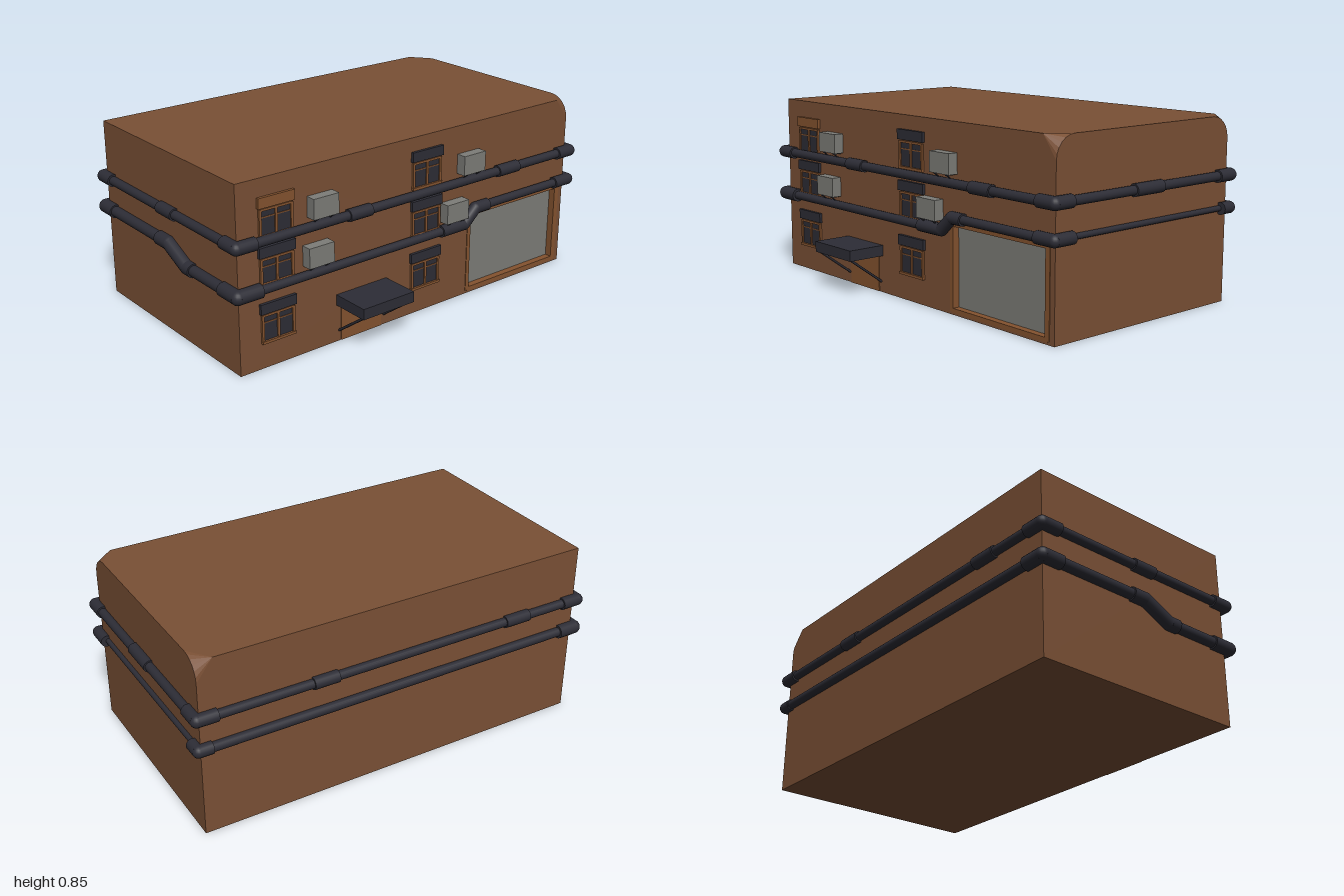
import * as THREE from 'three';
import { ConvexGeometry } from 'three/addons/geometries/ConvexGeometry.js';

const material = (name, color, side = THREE.FrontSide) => {
  const m = new THREE.MeshStandardMaterial({ color, side });
  m.name = name;
  return m;
};

export function createModel() {
  const wallMat = material('brown wall', 0x7a5035, THREE.DoubleSide);
  const trimMat = material('warm trim', 0x84532f);
  const darkMat = material('dark metal', 0x2d2d36);
  const greyMat = material('light grey', 0x7d7d78);
  const root = new THREE.Group();
  root.name = 'building';

  const add = (parent, name, geo, mat) => {
    const m = new THREE.Mesh(geo, mat);
    m.name = name;
    parent.add(m);
    return m;
  };
  const group = (name) => {
    const g = new THREE.Group();
    g.name = name;
    root.add(g);
    return g;
  };
  // box given by its limits on each axis
  const box = (parent, name, mat, [x0, x1], [y0, y1], [z0, z1]) => {
    const m = add(parent, name, new THREE.BoxGeometry(x1 - x0, y1 - y0, Math.abs(z1 - z0)), mat);
    m.position.set((x0 + x1) / 2, (y0 + y1) / 2, (z0 + z1) / 2);
    return m;
  };
  const UP = new THREE.Vector3(0, 1, 0);
  const rod = (parent, name, a, b, r, sides = 18) => {
    const d = b.clone().sub(a);
    const m = add(parent, name, new THREE.CylinderGeometry(r, r, d.length(), sides), darkMat);
    m.position.copy(a).addScaledVector(d, 0.5);
    m.quaternion.setFromUnitVectors(UP, d.normalize());
    return m;
  };
  const V = (x, y, z) => new THREE.Vector3(x, y, z);

  // Building shell with rounded top corners at the back
  const L = -0.605, R = 0.455, H = 0.845, D = 0.955, c = 0.1, zc = -0.88;
  const pts = [];
  for (const x of [L, R]) {
    const s = Math.sign(x);
    pts.push(V(x, 0, D), V(x, H, D), V(x, 0, -D), V(x, H, zc));
    for (let i = 0; i <= 6; i++) {
      const a = (i / 6) * Math.PI / 2;
      pts.push(V(x - s * c * (1 - Math.cos(a)), H - c + c * Math.sin(a), -D));
    }
  }
  const hull = new ConvexGeometry(pts);
  const pos = hull.attributes.position, nor = hull.attributes.normal;
  const keep = [];
  for (let i = 0; i < pos.count; i += 3) {
    if (nor.getX(i) > 0.999) continue; // this side is replaced by the wall with an opening
    for (let k = 0; k < 3; k++) keep.push(pos.getX(i + k), pos.getY(i + k), pos.getZ(i + k));
  }
  const shell = new THREE.BufferGeometry();
  shell.setAttribute('position', new THREE.Float32BufferAttribute(keep, 3));
  shell.computeVertexNormals();
  add(root, 'shell', shell, wallMat);

  // Side wall with the garage opening
  const g0 = 0.322, g1 = 0.92, gy0 = 0.015, gy1 = 0.402;
  const side = new THREE.Shape([[-D, 0], [D, 0], [D, H - c], [-zc, H], [-D, H]].map(p => new THREE.Vector2(...p)));
  side.holes.push(new THREE.Path([[g0, gy0], [g0, gy1], [g1, gy1], [g1, gy0]].map(p => new THREE.Vector2(...p))));
  const sideWall = add(root, 'sideWall', new THREE.ShapeGeometry(side).rotateY(Math.PI / 2), wallMat);
  sideWall.position.x = R;

  // Garage door set back in its frame
  const garage = group('garage');
  box(garage, 'garageDoor', greyMat, [R - 0.05, R - 0.03], [gy0, gy1], [-g1, -g0]);
  const gx = [R - 0.03, R + 0.003];
  box(garage, 'garageJamb', trimMat, gx, [gy0, gy1], [-g0 - 0.012, -g0 + 0.008]);
  box(garage, 'garageJamb', trimMat, gx, [gy0, gy1], [-g1 - 0.008, -g1 + 0.018]);
  box(garage, 'garageHeader', trimMat, gx, [gy1 - 0.01, gy1 + 0.006], [-g1 - 0.008, -g0 + 0.008]);
  box(garage, 'garageSill', trimMat, gx, [gy0 - 0.005, gy0 + 0.015], [-g1, -g0]);

  // Windows: pane, frame bars and lintel
  const windows = [
    [0.765, 0.6, 0.705, trimMat], [0.765, 0.39, 0.49, darkMat], [0.765, 0.13, 0.24, darkMat],
    [-0.05, 0.615, 0.72, darkMat], [-0.05, 0.39, 0.49, darkMat], [-0.05, 0.13, 0.24, darkMat],
  ];
  for (const [z, y0, y1, lintelMat] of windows) {
    const w = group('window');
    const hw = 0.075, fx = [R, R + 0.01];
    box(w, 'pane', darkMat, [R - 0.002, R + 0.004], [y0, y1], [z - hw, z + hw]);
    for (const s of [-1, 1]) {
      const e = z + s * (hw + 0.003);
      box(w, 'frameSide', trimMat, fx, [y0 - 0.008, y1 + 0.008], [e - 0.006, e + 0.006]);
    }
    box(w, 'mullion', trimMat, fx, [y0, y1], [z - 0.006, z + 0.006]);
    box(w, 'transom', trimMat, [R, R + 0.007], [y1 - 0.03, y1 - 0.025], [z - hw, z + hw]);
    box(w, 'frameTop', trimMat, fx, [y1, y1 + 0.01], [z - hw, z + hw]);
    box(w, 'sill', trimMat, [R, R + 0.014], [y0 - 0.012, y0], [z - 0.085, z + 0.085]);
    box(w, 'lintel', lintelMat, [R, R + 0.014], [y1 + 0.014, y1 + 0.06], [z - 0.09, z + 0.09]);
  }

  // Air conditioning units on brackets
  for (const [z, y] of [[0.543, 0.622], [0.568, 0.41], [-0.3, 0.622], [-0.205, 0.41]]) {
    const ac = group('airConditioner');
    box(ac, 'casing', greyMat, [R + 0.003, 0.506], [y, y + 0.092], [z - 0.065, z + 0.065]);
    for (const s of [-1, 1]) {
      const bz = z + s * 0.04;
      box(ac, 'bracketArm', darkMat, [R, 0.5], [y - 0.006, y], [bz - 0.004, bz + 0.004]);
      rod(ac, 'bracketStrut', V(R, y - 0.035, bz), V(0.495, y - 0.004, bz), 0.003, 6);
    }
  }

  // Entrance door and canopy
  const entrance = group('entrance');
  box(entrance, 'entranceDoor', trimMat, [R - 0.002, R + 0.003], [0, 0.172], [0.205, 0.43]);
  box(entrance, 'canopy', darkMat, [R, 0.64], [0.174, 0.224], [0.175, 0.455]);
  for (const z of [0.19, 0.44]) rod(entrance, 'canopyStrut', V(R, 0.05, z), V(0.63, 0.178, z), 0.006, 8);

  // Pipes: a run through points, with a ball and two sleeves at each corner
  const pl = -0.615, pr = 0.473, pz = 0.968;
  const run = (g, points, r) => {
    for (let i = 1; i < points.length; i++) rod(g, 'pipe', points[i - 1], points[i], r);
  };
  const ball = (g, p, r) => add(g, 'elbow', new THREE.SphereGeometry(r, 18, 12), darkMat).position.copy(p);
  const sleeves = (g, p, ends, r, len) => {
    ball(g, p, r);
    for (const e of ends) rod(g, 'sleeve', p, p.clone().add(e.clone().sub(p).setLength(len)), r);
  };

  const upper = group('upperPipe');
  const uy = 0.582;
  const ring = [V(pl, uy, pz), V(pr, uy, pz), V(pr, uy, -pz), V(pl, uy, -pz)];
  run(upper, [...ring, ring[0]], 0.021);
  ring.forEach((p, i) => sleeves(upper, p, [ring[(i + 1) % 4], ring[(i + 3) % 4]], 0.029, 0.09));
  const couplings = [
    [V(-0.11, uy, pz), V(0.01, uy, pz)], [V(-0.15, uy, -pz), V(0.02, uy, -pz)],
    [V(pr, uy, 0.405), V(pr, uy, 0.285)], [V(pr, uy, -0.475), V(pr, uy, -0.605)],
    [V(pl, uy, 0.55), V(pl, uy, 0.68)], [V(pl, uy, -0.44), V(pl, uy, -0.32)],
  ];
  for (const [a, b] of couplings) rod(upper, 'coupling', a, b, 0.028);

  const lower = group('lowerPipe');
  const hi = 0.434, lo = 0.37;
  const fl = V(pl, hi, pz), fr = V(pr, lo, pz), br = V(pr, hi, -pz), bl = V(pl, hi, -pz);
  const f1 = V(-0.05, hi, pz), f2 = V(0.09, lo, pz);
  const s1 = V(pr, lo, -0.275), s2 = V(pr, hi, -0.345);
  run(lower, [fl, f1, f2, fr], 0.025);
  run(lower, [fr, s1, s2, br], 0.02);
  run(lower, [bl, fl], 0.022);
  rod(lower, 'thinPipe', V(pr, hi, -0.96), V(pl, hi, -0.96), 0.013);
  sleeves(lower, fl, [f1, bl], 0.032, 0.095);
  sleeves(lower, fr, [f2, s1], 0.032, 0.11);
  sleeves(lower, br, [s2, bl], 0.028, 0.1);
  sleeves(lower, bl, [fl, br], 0.028, 0.06);
  // S-bends on the front and side
  for (const [a, b, a0, b1, r] of [
    [f1, f2, V(-0.13, hi, pz), V(0.14, lo, pz), 0.032],
    [s1, s2, V(pr, lo, -0.13), V(pr, hi, -0.42), 0.028],
  ]) {
    run(lower, [a0, a, b, b1], r);
    ball(lower, a, r);
    ball(lower, b, r);
  }
  return root;
}
